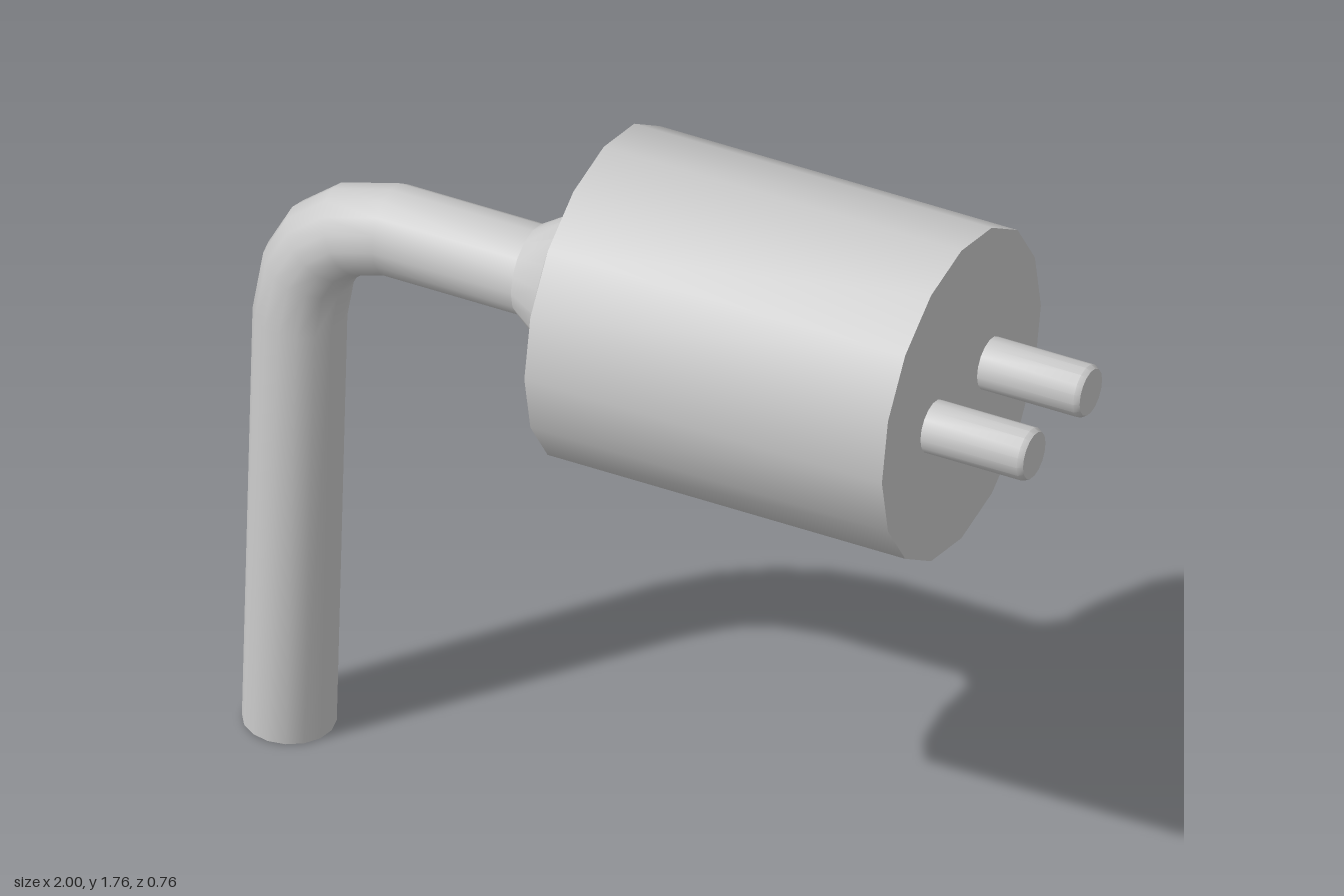
import * as THREE from 'three';
import { toCreasedNormals } from 'three/addons/utils/BufferGeometryUtils.js';

const SIDES = 16;
const AXIS_Y = 1.38;
const material = new THREE.MeshStandardMaterial({ color: 0xcccccc });
const openMaterial = new THREE.MeshStandardMaterial({ color: 0xcccccc, side: THREE.DoubleSide });

// Turned part lying along x: profile is a list of [x, radius]
function turned(name, profile, crease) {
  const points = profile.map(([x, r]) => new THREE.Vector2(r, x));
  const geometry = new THREE.LatheGeometry(points, SIDES).rotateZ(-Math.PI / 2);
  const mesh = new THREE.Mesh(toCreasedNormals(geometry, crease), material);
  mesh.name = name;
  mesh.position.y = AXIS_Y;
  return mesh;
}

// Round cable swept along a path in the xy plane, one ring per path point
function sweptCable(path, radius) {
  const positions = [], index = [];
  path.forEach(([x, y], i) => {
    const a = path[Math.max(i - 1, 0)], b = path[Math.min(i + 1, path.length - 1)];
    const across = new THREE.Vector2(b[1] - a[1], a[0] - b[0]).normalize();
    for (let j = 0; j < SIDES; j++) {
      const t = (j / SIDES) * Math.PI * 2;
      const u = Math.cos(t) * radius;
      positions.push(x + across.x * u, y + across.y * u, Math.sin(t) * radius);
      if (i === 0) continue;
      const k = (j + 1) % SIDES, low = (i - 1) * SIDES, high = i * SIDES;
      index.push(low + j, high + j, low + k, low + k, high + j, high + k);
    }
  });
  const geometry = new THREE.BufferGeometry();
  geometry.setAttribute('position', new THREE.Float32BufferAttribute(positions, 3));
  geometry.setIndex(index);
  geometry.computeVertexNormals();
  return geometry;
}

export function createModel() {
  const group = new THREE.Group();
  group.name = 'plug';

  // Plug body: flared neck, barrel and flat front face
  group.add(turned('plugBody', [
    [-0.3, 0.104], [-0.215, 0.158], [-0.125, 0.382], [0.752, 0.382], [0.752, 0],
  ], 0.65));

  // Two contact pins with a slight bevel at the tip
  for (const side of [1, -1]) {
    const pin = turned(side > 0 ? 'frontPin' : 'backPin', [
      [0.74, 0.061], [0.988, 0.061], [1, 0.054], [1, 0],
    ], 0.6);
    pin.position.z = side * 0.136;
    group.add(pin);
  }

  // Cable: hangs down with a slight lean, open at the lower end
  const cable = new THREE.Mesh(sweptCable([
    [-0.896, 0.003], [-0.87, 1.09], [-0.848, 1.22], [-0.808, 1.296],
    [-0.745, 1.348], [-0.64, AXIS_Y], [-0.3, AXIS_Y],
  ], 0.104), openMaterial);
  cable.name = 'cable';
  group.add(cable);

  return group;
}
